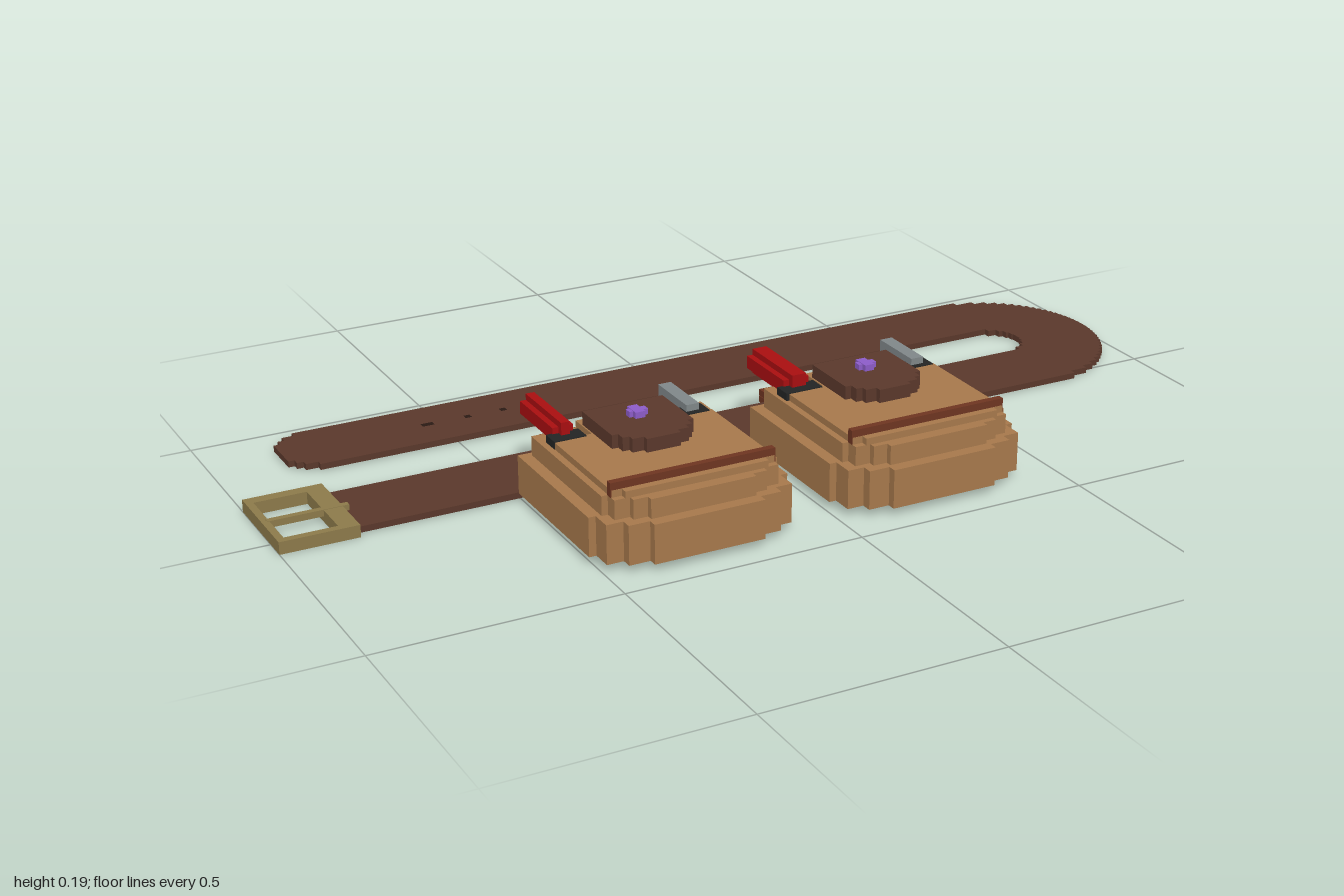
import * as THREE from 'three';

const mat = (name, color) => {
  const m = new THREE.MeshStandardMaterial({ color });
  m.name = name;
  return m;
};

export function createModel() {
  const leather = mat('dark leather', 0x5a382b);
  const strap = mat('red brown leather', 0x6e3521);
  const tan = mat('tan leather', 0xa6784b);
  const brass = mat('brass', 0x8c7a4a);
  const red = mat('red', 0xa80e10);
  const steel = mat('steel', 0x7f8688);
  const black = mat('black', 0x232424);
  const violet = mat('violet', 0x8c5cc8);
  const holeDark = mat('hole brown', 0x2a1a14);

  const model = new THREE.Group();
  model.name = 'toolBelt';

  // Box given by its limits on each axis
  const box = (parent, name, material, x0, x1, y0, y1, z0, z1) => {
    const mesh = new THREE.Mesh(new THREE.BoxGeometry(x1 - x0, y1 - y0, z1 - z0), material);
    mesh.position.set((x0 + x1) / 2, (y0 + y1) / 2, (z0 + z1) / 2);
    mesh.name = name;
    parent.add(mesh);
  };

  // Flat slab from an outline of [x, z] points
  const slab = (parent, name, material, points, y0, y1) => {
    const shape = new THREE.Shape(points.map(p => new THREE.Vector2(p[0], p[1])));
    const geo = new THREE.ExtrudeGeometry(shape, { depth: y1 - y0, bevelEnabled: false });
    geo.rotateX(Math.PI / 2).translate(0, y1, 0);
    const mesh = new THREE.Mesh(geo, material);
    mesh.name = name;
    parent.add(mesh);
  };

  // Mirrored stepped outline; rows are [half width, z where the row ends]
  const stepped = (zBack, rows) => {
    const side = [];
    let z = zBack;
    for (const [w, end] of rows) {
      side.push([w, z], [w, end]);
      z = end;
    }
    return [...side, ...side.map(([x, zz]) => [-x, zz]).reverse()];
  };

  // Belt folded into a hairpin with a stepped bend
  const bend = (r, rows) => {
    const pts = [];
    const h = (2 * r) / rows;
    for (let i = 0; i < rows; i++) {
      const a = -r + i * h, mid = a + h / 2;
      const x = 0.757 + Math.sqrt(r * r - mid * mid);
      pts.push([x, -0.209 + a], [x, -0.209 + a + h]);
    }
    return pts;
  };
  slab(model, 'belt', leather, [
    ...bend(0.244, 36),
    [-0.86, 0.035], [-0.86, -0.14],
    ...bend(0.069, 10).reverse(),
    [-0.8, -0.278], [-0.8, -0.291], [-0.826, -0.291], [-0.826, -0.305],
    [-0.84, -0.305], [-0.84, -0.32], [-0.853, -0.32],
    [-0.853, -0.41], [-0.84, -0.41], [-0.84, -0.425],
    [-0.826, -0.425], [-0.826, -0.44], [-0.8, -0.44], [-0.8, -0.453],
  ], 0.002, 0.015);

  // Belt holes
  for (const [x, w] of [[-0.535, 0.026], [-0.445, 0.013], [-0.365, 0.013], [-0.285, 0.013]])
    box(model, 'beltHole', holeDark, x - w / 2, x + w / 2, 0.0015, 0.0155, -0.371, -0.358);

  // Buckle frame and prong
  const buckle = new THREE.Group();
  buckle.name = 'buckle';
  model.add(buckle);
  box(buckle, 'buckleEndBar', brass, -1, -0.985, 0, 0.026, -0.165, 0.05);
  box(buckle, 'buckleHingeBar', brass, -0.877, -0.838, 0, 0.026, -0.165, 0.05);
  box(buckle, 'buckleBackBar', brass, -0.985, -0.877, 0, 0.026, -0.165, -0.141);
  box(buckle, 'buckleFrontBar', brass, -0.985, -0.877, 0, 0.026, 0.034, 0.05);
  box(buckle, 'buckleProng', brass, -0.99, -0.825, 0.013, 0.027, -0.058, -0.045);

  // Pouch with its belt loop, flap and tools
  const addPouch = (cx, redX, redHalf, steelX) => {
    const pouch = new THREE.Group();
    pouch.name = 'pouch';
    pouch.position.x = cx;
    model.add(pouch);

    slab(pouch, 'pouchBody', tan, stepped(0.043,
      [[0.21, 0.365], [0.195, 0.41], [0.16, 0.432], [0.116, 0.45]]), 0.017, 0.098);
    slab(pouch, 'pouchShoulder', tan, stepped(0.055,
      [[0.185, 0.37], [0.172, 0.398], [0.14, 0.412], [0.11, 0.425]]), 0.098, 0.138);
    slab(pouch, 'pouchTop', tan, stepped(0.055,
      [[0.09, 0.128], [0.171, 0.385], [0.15, 0.4]]), 0.138, 0.152);
    box(pouch, 'pouchRim', strap, -0.173, 0.173, 0.138, 0.167, 0.37, 0.384);

    // Flap and its button
    slab(pouch, 'flap', leather, stepped(0.08,
      [[0.087, 0.213], [0.074, 0.233], [0.06, 0.247], [0.036, 0.26]]), 0.152, 0.18);
    box(pouch, 'button', violet, -0.02, 0.02, 0.18, 0.192, 0.136, 0.152);
    box(pouch, 'button', violet, -0.012, 0.009, 0.18, 0.193, 0.125, 0.163);

    // Belt loop above, below and behind the belt
    box(pouch, 'loopTop', strap, -0.068, 0.068, 0.015, 0.029, -0.178, 0.06);
    box(pouch, 'loopBottom', strap, -0.068, 0.068, 0, 0.014, -0.178, 0.082);

    // Red handle with cut corners, held by a clip
    const c = 0.013;
    box(pouch, 'redHandle', red, redX - redHalf, redX + redHalf, 0.127 + c, 0.18 - c, -0.054, 0.1);
    box(pouch, 'redHandle', red, redX - redHalf + c, redX + redHalf - c, 0.127, 0.18, -0.054, 0.113);
    box(pouch, 'redHandleClip', black, redX - redHalf - 0.012, redX + redHalf + 0.012, 0.138, 0.154, 0.096, 0.135);

    // Steel tool, held by a clip
    box(pouch, 'steelTool', steel, steelX - 0.014, steelX + 0.014, 0.14, 0.168, 0, 0.123);
    box(pouch, 'steelToolClip', black, steelX - 0.031, steelX + 0.031, 0.138, 0.154, 0.096, 0.135);
  };
  addPouch(-0.298, -0.138, 0.022, 0.132);
  addPouch(0.216, -0.136, 0.029, 0.136);

  return model;
}
